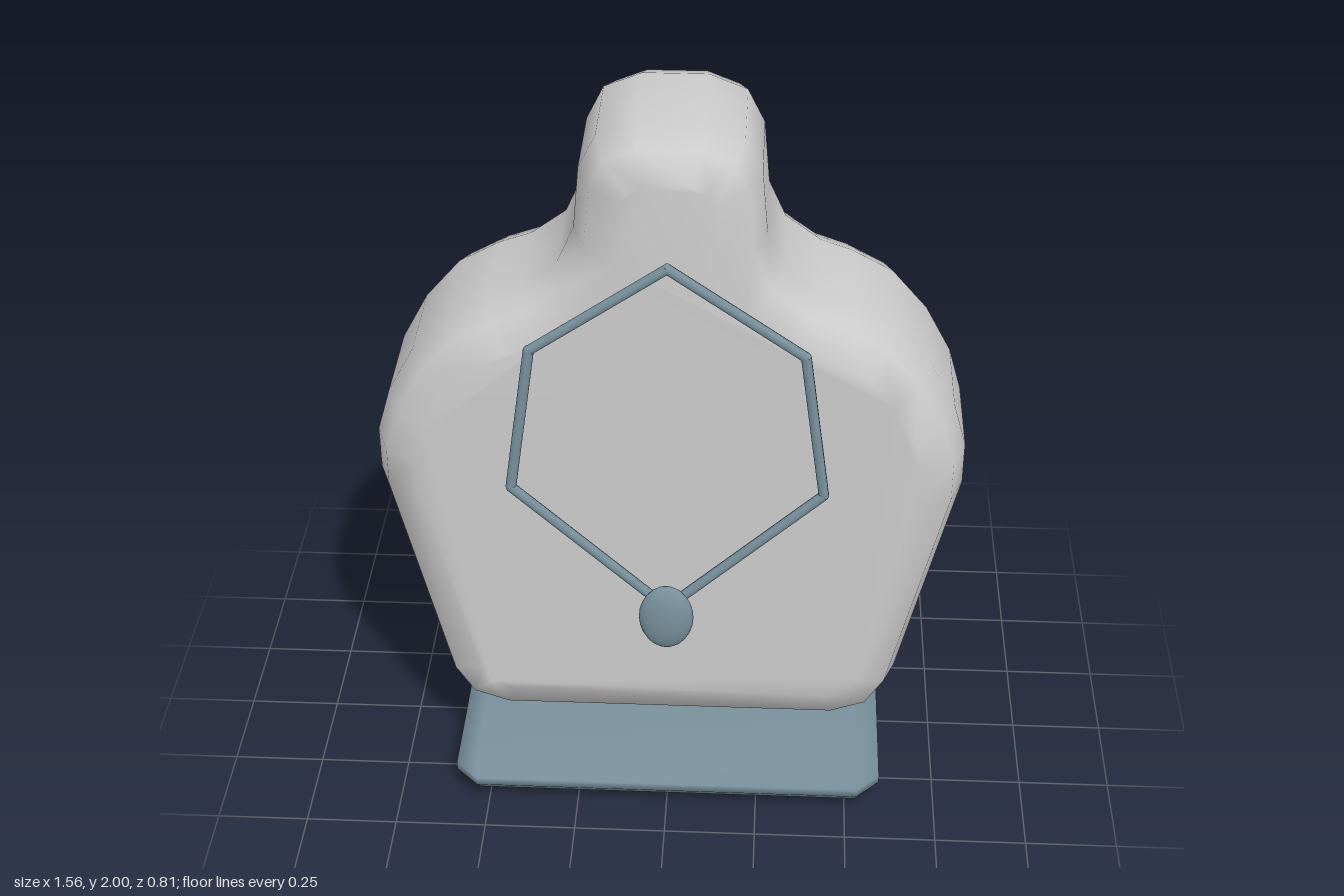
import * as THREE from 'three';
import { mergeVertices } from 'three/addons/utils/BufferGeometryUtils.js';
import { ConvexGeometry } from 'three/addons/geometries/ConvexGeometry.js';

const grey = new THREE.MeshStandardMaterial({ color: 0xcccccc });
const slate = new THREE.MeshStandardMaterial({ color: 0x78909c });

function addMesh(parent, name, geometry, material) {
  const mesh = new THREE.Mesh(geometry, material);
  mesh.name = name;
  parent.add(mesh);
  return mesh;
}

// Weld corners so normals blend across the bevels, weighted by face area
function smooth(geometry) {
  geometry.deleteAttribute('uv');
  geometry.deleteAttribute('normal');
  const welded = mergeVertices(geometry, 1e-4);
  welded.computeVertexNormals();
  return welded;
}

// Bust silhouette, mirrored and extruded with a rounded bevel
function bustGeometry() {
  const side = [
    [0.46, 0.195], [0.57, 0.235], [0.63, 0.33], [0.78, 0.96], [0.78, 1.08],
    [0.745, 1.2], [0.675, 1.33], [0.58, 1.44], [0.47, 1.5], [0.385, 1.53],
    [0.29, 1.6], [0.245, 1.7], [0.23, 1.87], [0.185, 1.96], [0.085, 2],
  ].map(([x, y]) => new THREE.Vector2(x, y));
  const mirrored = side.map((p) => new THREE.Vector2(-p.x, p.y)).reverse();
  const geometry = new THREE.ExtrudeGeometry(new THREE.Shape([...side, ...mirrored]), {
    depth: 0.28, bevelThickness: 0.13, bevelSize: 0.115, bevelOffset: -0.115, bevelSegments: 2,
  });
  geometry.translate(0, 0, -0.14);
  return smooth(geometry);
}

// Box with every edge and corner chamfered
function chamferedBox(x, y, z, c) {
  const points = [];
  for (const i of [-1, 1]) for (const j of [-1, 1]) for (const k of [-1, 1]) {
    points.push(
      new THREE.Vector3(i * x, j * (y - c), k * (z - c)),
      new THREE.Vector3(i * (x - c), j * y, k * (z - c)),
      new THREE.Vector3(i * (x - c), j * (y - c), k * z),
    );
  }
  return smooth(new ConvexGeometry(points));
}

// Six straight links joined at the corners of a tilted hexagon
function chain() {
  const group = new THREE.Group();
  group.name = 'necklaceChain';
  const radius = 0.014;
  const corners = [
    [0, 1.68, 0.305], [0.35, 1.44, 0.313], [0.408, 1.03, 0.326],
    [0, 0.66, 0.34], [-0.408, 1.03, 0.326], [-0.35, 1.44, 0.313],
  ].map((p) => new THREE.Vector3(...p));
  corners.forEach((a, i) => {
    const b = corners[(i + 1) % corners.length];
    const link = addMesh(group, 'chainLink',
      new THREE.CylinderGeometry(radius, radius, a.distanceTo(b), 8), slate);
    link.position.lerpVectors(a, b, 0.5);
    link.quaternion.setFromUnitVectors(new THREE.Vector3(0, 1, 0), b.clone().sub(a).normalize());
    addMesh(group, 'chainJoint', new THREE.SphereGeometry(radius, 8, 6), slate).position.copy(a);
  });
  return group;
}

export function createModel() {
  const model = new THREE.Group();
  model.name = 'necklaceBust';

  addMesh(model, 'bust', bustGeometry(), grey);

  addMesh(model, 'base', chamferedBox(0.595, 0.076, 0.405, 0.064), slate).position.y = 0.076;

  model.add(chain());

  const pendant = addMesh(model, 'pendant', new THREE.SphereGeometry(1, 16, 12), slate);
  pendant.scale.set(0.073, 0.1, 0.03);
  pendant.position.set(0, 0.655, 0.375);

  return model;
}
